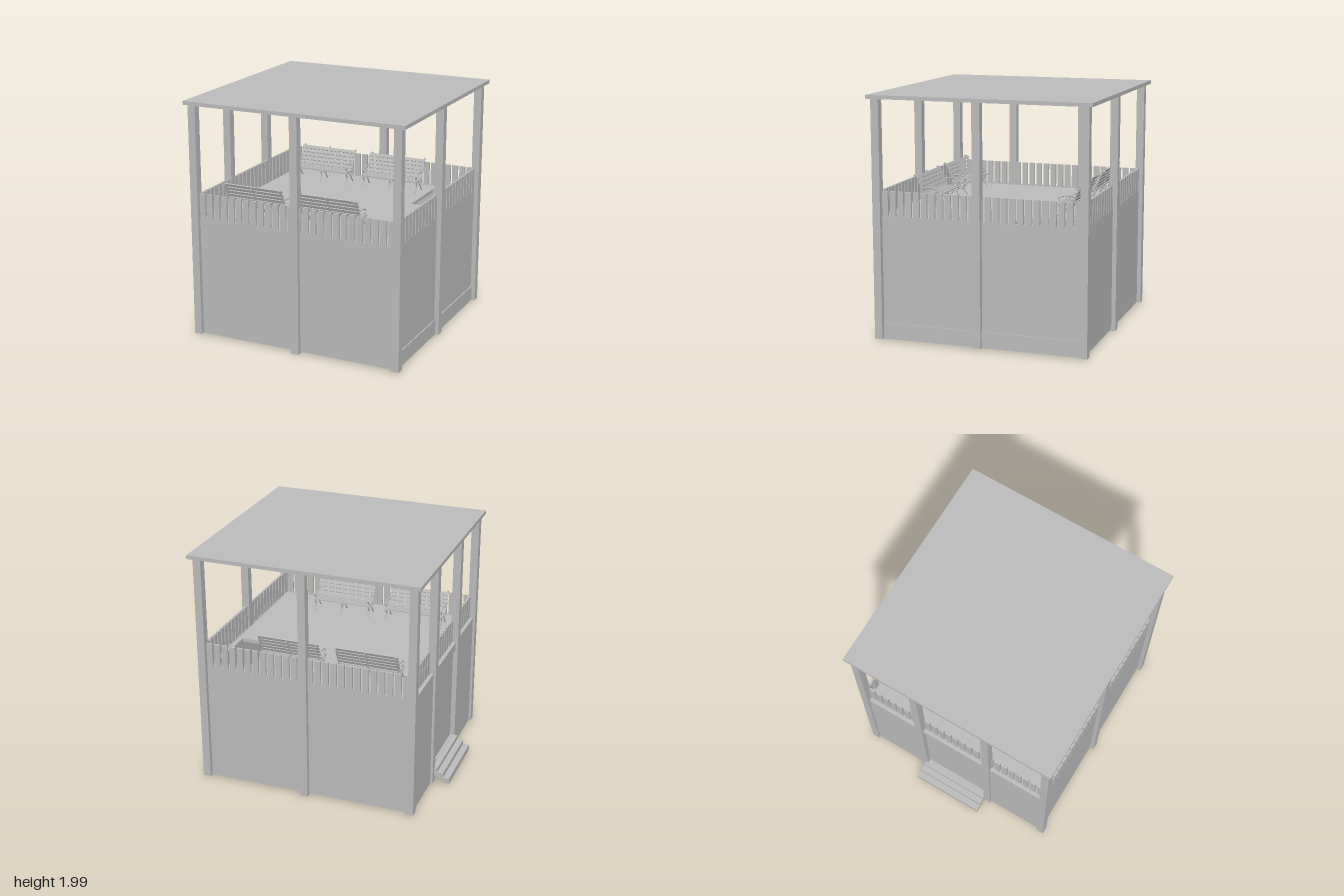
import * as THREE from 'three';

const grey = new THREE.MeshStandardMaterial({ color: 0xbcbcbc });
grey.name = 'plain grey';

const mesh = (name, geometry, parent) => {
  const m = new THREE.Mesh(geometry, grey);
  m.name = name;
  parent.add(m);
  return m;
};

// Box given by its limits on each axis
function box(parent, name, x0, x1, y0, y1, z0, z1) {
  const m = mesh(name, new THREE.BoxGeometry(x1 - x0, y1 - y0, z1 - z0), parent);
  m.position.set((x0 + x1) / 2, (y0 + y1) / 2, (z0 + z1) / 2);
  return m;
}

function polygon(points) {
  return new THREE.Shape(points.map(([x, y]) => new THREE.Vector2(x, y)));
}

// Iron tube bent through points in the side plane (z, y)
function bar(parent, name, points, r, x) {
  const curve = new THREE.CatmullRomCurve3(points.map(([z, y]) => new THREE.Vector3(0, y, z)));
  mesh(name, new THREE.TubeGeometry(curve, 20, r, 6), parent).position.x = x;
}

// Park bench facing -z, standing on y = 0
function makeBench() {
  const bench = new THREE.Group();
  bench.name = 'bench';
  const half = 0.26;
  for (const x of [-half + 0.012, 0, half - 0.012]) {
    bar(bench, 'benchBackSupport', [[0.045, 0.09], [0.06, 0.15], [0.085, 0.21], [0.11, 0.262], [0.122, 0.27], [0.13, 0.262]], 0.006, x);
    bar(bench, 'benchSeatSupport', [[0.05, 0.10], [0, 0.095], [-0.05, 0.10], [-0.085, 0.09]], 0.006, x);
    bar(bench, 'benchRearLeg', [[0.045, 0.10], [0.03, 0.06], [0.045, 0.03], [0.065, 0.004]], 0.006, x);
    bar(bench, 'benchFrontLeg', [[-0.075, 0.10], [-0.055, 0.06], [-0.07, 0.03], [-0.09, 0.004]], 0.006, x);
    bar(bench, 'benchLegBrace', [[-0.06, 0.05], [-0.01, 0.075], [0.035, 0.05]], 0.004, x);
    if (x !== 0) {
      bar(bench, 'benchArm', [[0.07, 0.165], [0.02, 0.172], [-0.05, 0.165], [-0.078, 0.145], [-0.06, 0.13], [-0.065, 0.1]], 0.006, x);
    }
  }
  // Seat slats
  for (let i = 0; i < 5; i++) {
    const z = -0.075 + i * 0.028;
    box(bench, 'benchSeatSlat', -half, half, 0.102, 0.112, z - 0.01, z + 0.01);
  }
  // Leaning back slats
  for (let i = 0; i < 5; i++) {
    const t = i / 4;
    const slat = mesh('benchBackSlat', new THREE.BoxGeometry(half * 2, 0.026, 0.009), bench);
    slat.position.set(0, 0.13 + t * 0.125, 0.042 + t * 0.056);
    slat.rotation.x = 0.42;
  }
  return bench;
}

export function createModel() {
  const model = new THREE.Group();
  model.name = 'pavilion';

  // Flat roof
  box(model, 'roof', -0.9, 1.0, 1.955, 1.985, -0.92, 0.91);

  // Posts: corners, middles, and the pair beside the door
  const post = (x, z, y0) => box(model, 'post', x - 0.0325, x + 0.0325, y0, 1.955, z - 0.0325, z + 0.0325);
  for (const z of [-0.8525, 0.8525]) {
    post(-0.8375, z, 0.015);
    post(0.9325, z, 0.015);
    post(0.0625, z, 0);
  }
  post(0.9325, 0.0135, 0.015);
  post(-0.8375, 0.313, 0.015);
  post(-0.8375, -0.327, 0.015);

  // Base slab and walls
  box(model, 'base', -0.85, 0.935, 0.015, 0.145, -0.85, 0.85);
  box(model, 'frontWall', -0.85, 0.925, 0.145, 1.02, 0.825, 0.85);
  box(model, 'backWall', -0.85, 0.925, 0.145, 1.02, -0.85, -0.825);
  box(model, 'rightWall', 0.9, 0.925, 0.145, 1.02, -0.825, 0.825);
  box(model, 'leftWallFront', -0.85, -0.80, 0.145, 1.02, 0.28, 0.825);
  box(model, 'leftWallBack', -0.85, -0.80, 0.145, 1.02, -0.825, -0.295);
  box(model, 'doorHeader', -0.85, -0.80, 0.95, 1.02, -0.295, 0.28);
  box(model, 'door', -0.83, -0.81, 0.145, 0.95, -0.295, 0.28);

  // Upper deck with the hatch opening
  const deck = polygon([[-0.8, -0.825], [0.9, -0.825], [0.9, 0.825], [-0.8, 0.825]]);
  deck.holes.push(polygon([[0.58, 0.25], [0.58, 0.74], [0.86, 0.74], [0.86, 0.25]]));
  const deckMesh = mesh('deck', new THREE.ExtrudeGeometry(deck, { depth: 0.03, bevelEnabled: false }), model);
  deckMesh.rotation.x = -Math.PI / 2;
  deckMesh.position.y = 0.985;

  // Picket railings
  const pitch = 0.0662, width = 0.049;
  for (let i = 0; i < 26; i++) {
    const x = -0.805 + i * pitch;
    box(model, 'frontPicket', x, x + width, 1.02, 1.22, 0.83, 0.85);
    box(model, 'backPicket', x, x + width, 1.02, 1.22, -0.85, -0.83);
  }
  for (let i = 0; i < 25; i++) {
    const z = -0.82 + i * pitch;
    box(model, 'rightPicket', 0.905, 0.925, 1.02, 1.22, z, z + width);
    box(model, 'leftPicket', -0.82, -0.80, 1.02, 1.22, z, z + width);
  }

  // Entrance steps with a sloping underside
  const steps = polygon([[-1, 0.015], [-0.965, 0.015], [-0.85, 0.09], [-0.85, 0.14], [-0.895, 0.14],
    [-0.895, 0.105], [-0.947, 0.105], [-0.947, 0.065], [-1, 0.065]]);
  mesh('steps', new THREE.ExtrudeGeometry(steps, { depth: 0.61, bevelEnabled: false }), model).position.z = -0.32;

  // Two benches along the front and two along the back, facing inwards
  for (const x of [-0.4, 0.26]) {
    for (const side of [1, -1]) {
      const bench = makeBench();
      bench.position.set(x, 1.018, side * 0.59);
      if (side < 0) bench.rotation.y = Math.PI;
      model.add(bench);
    }
  }
  return model;
}
